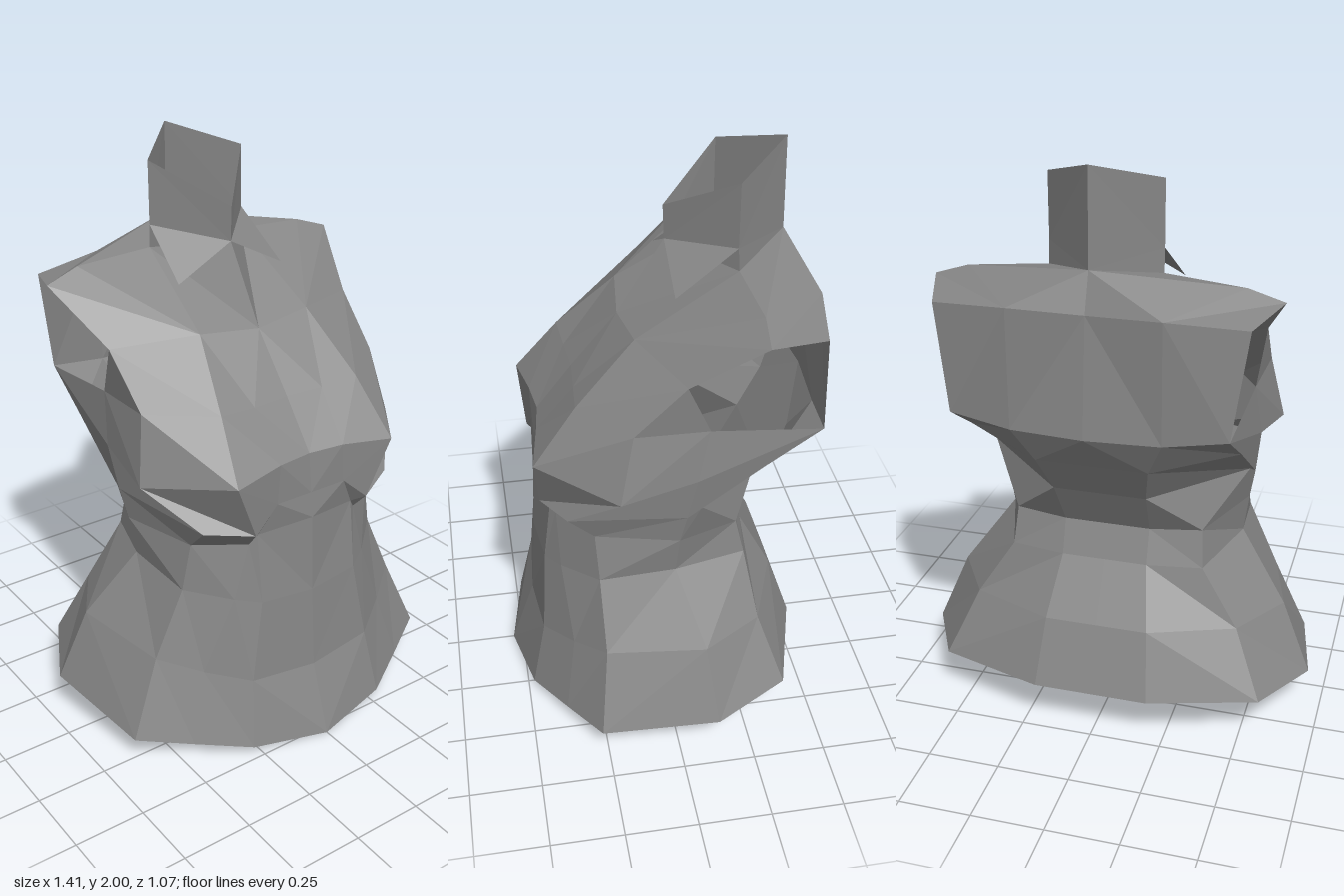
import * as THREE from 'three';

const material = new THREE.MeshStandardMaterial({ color: 0x868686, flatShading: true, side: THREE.DoubleSide });

// Builds a mesh from polygons given for the +x half, mirrored to -x.
function mirroredMesh(name, polygons) {
  const positions = [];
  const flip = ([x, y, z]) => [-x, y, z];
  for (const p of polygons) {
    for (let i = 1; i < p.length - 1; i++) {
      positions.push(...p[0], ...p[i], ...p[i + 1]);
      positions.push(...flip(p[0]), ...flip(p[i + 1]), ...flip(p[i]));
    }
  }
  const geometry = new THREE.BufferGeometry();
  geometry.setAttribute('position', new THREE.Float32BufferAttribute(positions, 3));
  geometry.computeVertexNormals();
  const mesh = new THREE.Mesh(geometry, material);
  mesh.name = name;
  return mesh;
}

// Quads between consecutive cross-sections.
function loft(rows) {
  const quads = [];
  for (let r = 0; r < rows.length - 1; r++) {
    for (let c = 0; c < rows[r].length - 1; c++) {
      quads.push([rows[r][c], rows[r][c + 1], rows[r + 1][c + 1], rows[r + 1][c]]);
    }
  }
  return quads;
}

export function createModel() {
  const group = new THREE.Group();
  group.name = 'sleevelessTunic';

  // Half cross-sections, each from centre front round the side to centre back.
  const hem = [[0, 0, 0.535], [0.28, 0.03, 0.48], [0.46, 0.06, 0.375], [0.635, 0.09, 0.27],
    [0.705, 0.15, -0.13], [0.57, 0.17, -0.39], [0.20, 0.17, -0.50], [0, 0.17, -0.50]];
  const hip = [[0, 0.25, 0.45], [0.25, 0.27, 0.43], [0.39, 0.31, 0.335], [0.52, 0.36, 0.235],
    [0.60, 0.40, -0.10], [0.47, 0.40, -0.31], [0.18, 0.40, -0.42], [0, 0.40, -0.42]];
  const waist = [[0, 0.55, 0.43], [0.20, 0.56, 0.41], [0.28, 0.575, 0.36], [0.41, 0.60, 0.24],
    [0.43, 0.63, -0.02], [0.34, 0.60, -0.28], [0.15, 0.60, -0.31], [0, 0.60, -0.31]];
  const underBust = [[0, 0.83, 0.42], [0.20, 0.81, 0.38], [0.225, 0.775, 0.365], [0.38, 0.77, 0.25],
    [0.45, 0.77, -0.03], [0.33, 0.73, -0.25], [0.15, 0.72, -0.27], [0, 0.72, -0.27]];
  const bustFold = [[0, 0.92, 0.41], [0.14, 0.92, 0.41], [0.235, 0.835, 0.42], [0.39, 0.855, 0.34],
    [0.47, 0.88, -0.05], [0.46, 0.91, -0.10], [0.16, 0.88, -0.36], [0, 0.88, -0.36]];
  const bust = [[0, 1.06, 0.395], [0.13, 1.06, 0.41], [0.32, 1.04, 0.44], [0.525, 1.0, 0.18],
    [0.49, 1.04, -0.08], [0.465, 1.06, -0.31], [0.19, 1.02, -0.45], [0, 1.02, -0.45]];
  const armpit = [[0, 1.22, 0.27], [0.14, 1.22, 0.28], [0.28, 1.23, 0.29], [0.48, 1.23, 0.13],
    [0.47, 1.22, -0.12], [0.46, 1.18, -0.495], [0.25, 1.15, -0.515], [0, 1.15, -0.535]];

  // Landmarks of the neck, shoulder and upper back.
  const neckFront = [0, 1.41, 0.11];
  const neckSide = [0.19, 1.63, -0.26];
  const neckBack = [0, 1.68, -0.45];
  const chestMid = [0.22, 1.43, 0.085];
  const chestSide = [0.49, 1.40, -0.04];
  const shoulder = [0.46, 1.61, -0.28];
  const shoulderTip = [0.58, 1.57, -0.27];
  const upperBack = [[0.51, 1.54, -0.47], [0.25, 1.56, -0.52], [0, 1.55, -0.495]];

  group.add(mirroredMesh('skirt', loft([hem, hip, waist, underBust])));
  // Only the front half has the bust fold; the sides run smoothly past it.
  group.add(mirroredMesh('bodice', loft([underBust, bustFold, bust, armpit])));
  group.add(mirroredMesh('chestPanel', [
    [armpit[0], armpit[1], neckFront],
    [armpit[1], armpit[2], chestMid, neckFront],
    [armpit[2], armpit[3], chestSide, chestMid],
    [armpit[3], armpit[4], chestSide],
    [neckFront, chestMid, neckSide],
    [chestMid, shoulder, neckSide],
    [chestMid, chestSide, shoulderTip, shoulder],
  ]));
  group.add(mirroredMesh('backPanel', loft([armpit.slice(5), upperBack])));
  group.add(mirroredMesh('shoulderYoke', [
    [shoulderTip, upperBack[0], upperBack[1], shoulder],
    [shoulder, upperBack[1], neckBack, neckSide],
    [upperBack[1], upperBack[2], neckBack],
  ]));

  // Diamond-plan standing collar, sloping up to the back.
  const collarFront = [0, 1.67, -0.05];
  const collarSide = [0.19, 1.71, -0.255];
  const topFront = [0, 1.79, -0.045];
  const topSide = [0.19, 1.93, -0.255];
  const topBack = [0, 2.0, -0.445];
  group.add(mirroredMesh('collar', [
    [collarFront, collarSide, topSide, topFront],
    [collarSide, neckSide, neckBack, topBack, topSide],
  ]));
  group.add(mirroredMesh('collarPoint', [[collarFront, [0.21, 1.56, -0.05], collarSide]]));

  // Folded insert filling the V neck below the collar.
  group.add(mirroredMesh('neckInsert', [
    [neckFront, neckSide, collarFront],
    [collarFront, neckSide, collarSide],
  ]));
  return group;
}
